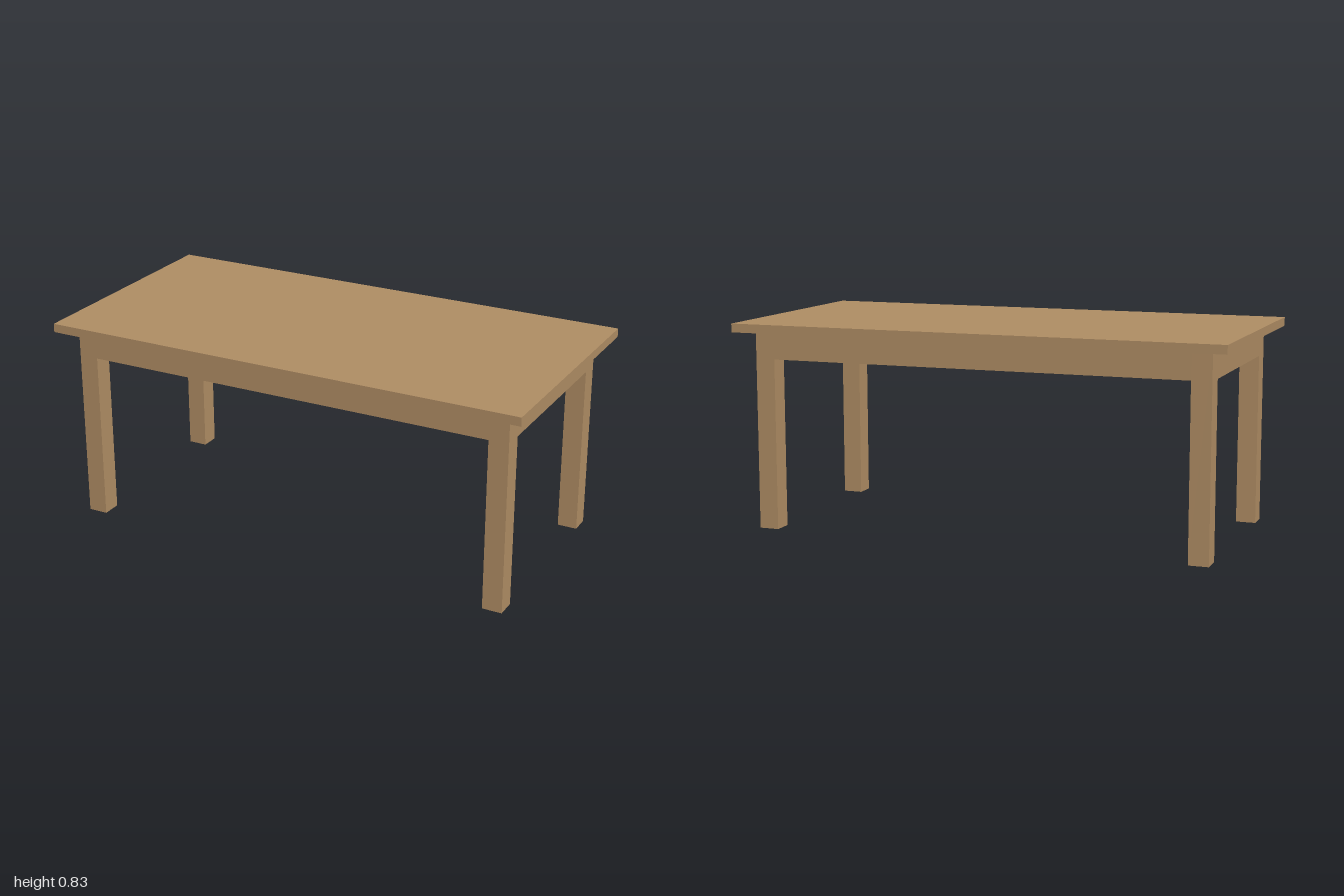
import * as THREE from 'three';

export function createModel() {
  const table = new THREE.Group();
  table.name = 'table';
  const wood = new THREE.MeshStandardMaterial({ color: 0xae8c63 });
  wood.name = 'wood';

  // Box spanning size [w, h, d], centred on x/z with its underside at y
  const box = (name, [w, h, d], x, y, z) => {
    const mesh = new THREE.Mesh(new THREE.BoxGeometry(w, h, d), wood);
    mesh.name = name;
    mesh.position.set(x, y + h / 2, z);
    table.add(mesh);
  };

  const under = 0.8;             // underside of the top
  const outX = 0.93, outZ = 0.43; // outer faces of the legs
  const leg = 0.08;
  const apronH = 0.11, apronT = 0.025;
  const block = 0.065, blockH = 0.087;

  box('tableTop', [2, 0.035, 1], 0, under, 0);

  for (const sx of [1, -1]) {
    const side = sx > 0 ? 'left' : 'right';
    // Short apron, flush with the outer leg faces
    box(side + 'Apron', [apronT, apronH, 2 * (outZ - leg)],
      sx * (outX - apronT / 2), under - apronH, 0);

    for (const sz of [1, -1]) {
      const corner = (sz > 0 ? 'front' : 'back') + (sx > 0 ? 'Left' : 'Right');
      box(corner + 'Leg', [leg, under, leg],
        sx * (outX - leg / 2), 0, sz * (outZ - leg / 2));
      // Corner block tucked against the inner corner of the leg
      box(corner + 'CornerBlock', [block, blockH, block],
        sx * (outX - leg - block / 2), under - blockH, sz * (outZ - leg - block / 2));
    }
  }

  // Long aprons
  for (const sz of [1, -1]) {
    box(sz > 0 ? 'frontApron' : 'backApron', [2 * (outX - leg), apronH, apronT],
      0, under - apronH, sz * (outZ - apronT / 2));
  }
  return table;
}
